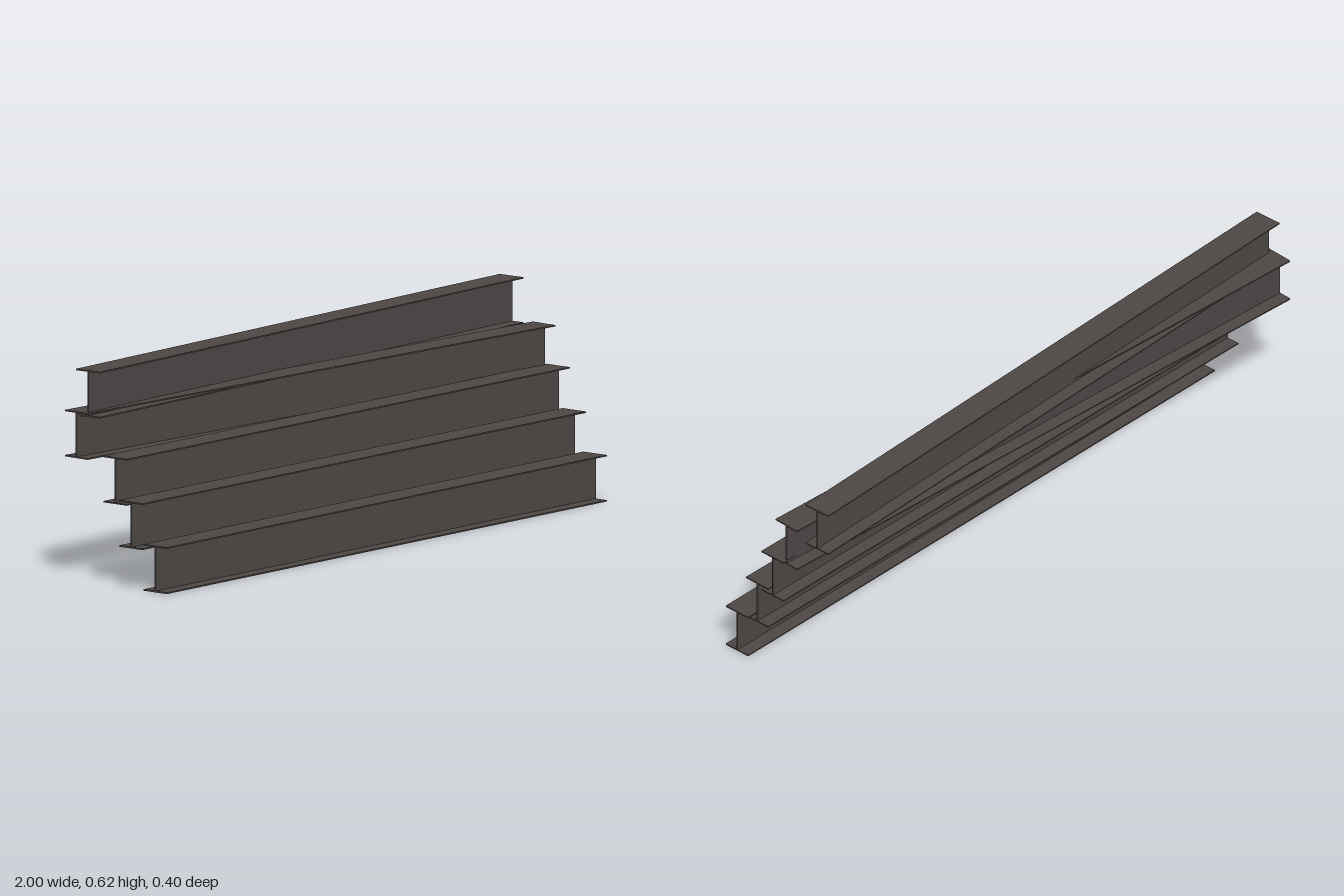
import * as THREE from 'three';

const LENGTH = 1.968, HEIGHT = 0.135, WIDTH = 0.087, PLATE = 0.004, WEB = 0.005;

// I-shaped cross-section, extruded along x and centred on x and z
function beamGeometry() {
  const w = WIDTH / 2, t = WEB / 2, h = HEIGHT, p = PLATE;
  const outline = [
    [-w, 0], [w, 0], [w, p], [t, p], [t, h - p], [w, h - p],
    [w, h], [-w, h], [-w, h - p], [-t, h - p], [-t, p], [-w, p],
  ];
  const shape = new THREE.Shape(outline.map(([x, y]) => new THREE.Vector2(x, y)));
  const geometry = new THREE.ExtrudeGeometry(shape, { depth: LENGTH, bevelEnabled: false });
  geometry.translate(0, 0, -LENGTH / 2);
  geometry.rotateY(Math.PI / 2);
  return geometry;
}

export function createModel() {
  const group = new THREE.Group();
  group.name = 'steelBeamStack';
  const steel = new THREE.MeshStandardMaterial({ color: 0x4c4745 });
  steel.name = 'darkSteel';
  const geometry = beamGeometry();

  // Each beam, bottom to top: x, y of its underside, z, turn about y
  const beams = [
    [0.012, 0.001, 0.151, 0.0066],
    [-0.004, 0.122, 0.0805, 0],
    [0, 0.243, 0.0175, 0.0006],
    [-0.015, 0.363, -0.0685, -0.0473],
    [0, 0.484, -0.12, 0.0368],
  ];
  beams.forEach(([x, y, z, turn], i) => {
    const beam = new THREE.Mesh(geometry, steel);
    beam.name = `beam${i + 1}`;
    beam.position.set(x, y, z);
    beam.rotation.y = turn;
    group.add(beam);
  });
  return group;
}
